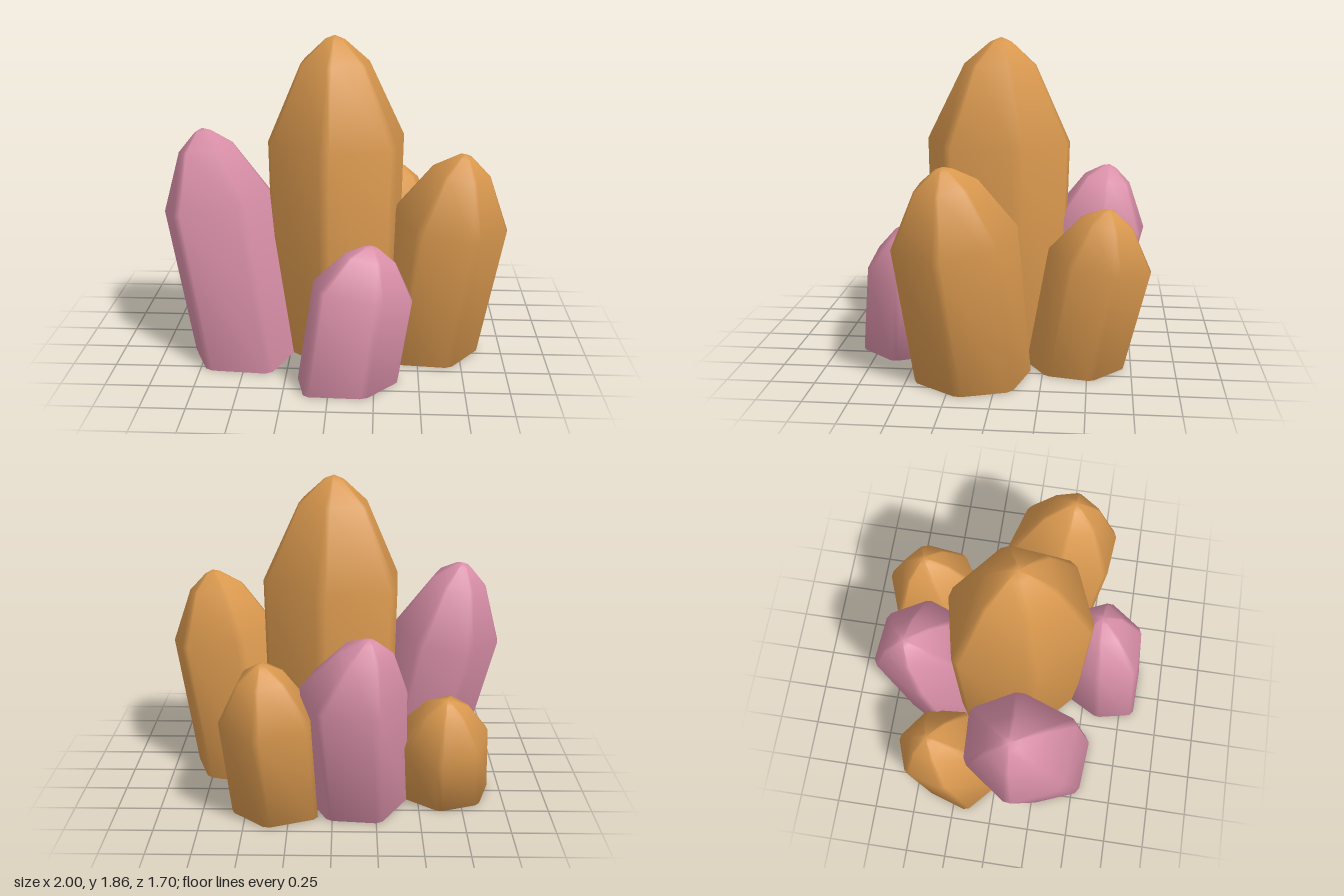
import * as THREE from 'three';

const amber = new THREE.MeshStandardMaterial({ color: 0xd9984e });
amber.name = 'amber';
const rose = new THREE.MeshStandardMaterial({ color: 0xd98fa8 });
rose.name = 'rose';

// outline: six [x, z] shoulder corners, clockwise seen from above
// base: [x, z] centre of the foot on the ground; footScale: foot size against the shoulder
const crystals = [
  { name: 'mainCrystal', material: amber, tip: [0, 1.86, 0.03], base: [0.01, 0.04], shoulder: 1.26, footScale: 0.94,
    outline: [[0.07, -0.37], [0.4, -0.1], [0.35, 0.31], [-0.04, 0.47], [-0.37, 0.17], [-0.35, -0.28]] },
  { name: 'rightTallCrystal', material: rose, tip: [-0.77, 1.325, 0.1], base: [-0.51, 0.26], shoulder: 0.89, footScale: 0.95,
    outline: [[-0.8, -0.16], [-0.5, -0.17], [-0.37, 0.1], [-0.5, 0.45], [-0.88, 0.42], [-1, 0.12]] },
  { name: 'leftTallCrystal', material: amber, tip: [0.75, 1.23, 0.27], base: [0.56, 0.15], shoulder: 0.83, footScale: 0.96,
    outline: [[0.55, -0.11], [0.9, -0.02], [1, 0.27], [0.81, 0.54], [0.49, 0.51], [0.35, 0.2]] },
  { name: 'frontSmallCrystal', material: rose, tip: [0.23, 0.77, 0.53], base: [0.08, 0.61], shoulder: 0.52, footScale: 1.02,
    outline: [[-0.09, 0.55], [0.02, 0.35], [0.34, 0.31], [0.46, 0.58], [0.28, 0.79], [-0.04, 0.78]] },
  { name: 'backLeftCrystal', material: amber, tip: [0.39, 0.94, -0.61], base: [0.33, -0.43], shoulder: 0.64, footScale: 0.97,
    outline: [[0.12, -0.74], [0.41, -0.85], [0.625, -0.66], [0.57, -0.4], [0.35, -0.27], [0.14, -0.45]] },
  { name: 'backCrystal', material: rose, tip: [-0.2, 1.085, -0.61], base: [-0.13, -0.39], shoulder: 0.76, footScale: 0.94,
    outline: [[-0.24, -0.82], [0.07, -0.79], [0.18, -0.55], [0.08, -0.32], [-0.22, -0.29], [-0.42, -0.5]] },
  { name: 'backRightSmallCrystal', material: amber, tip: [-0.65, 0.66, -0.43], base: [-0.66, -0.25], shoulder: 0.41, footScale: 1.04,
    outline: [[-0.82, -0.55], [-0.6, -0.63], [-0.41, -0.48], [-0.41, -0.22], [-0.7, -0.12], [-0.9, -0.3]] },
];

// Replace each corner with two points so the long edges are narrowly bevelled
function bevelCorners(outline, cut = 0.08) {
  const n = outline.length;
  const toward = (p, q) => [p[0] + (q[0] - p[0]) * cut, p[1] + (q[1] - p[1]) * cut];
  return outline.flatMap((p, i) =>
    [toward(p, outline[(i + n - 1) % n]), toward(p, outline[(i + 1) % n])]);
}

function crystalGeometry({ tip, base, shoulder, outline, footScale }) {
  const cx = outline.reduce((s, p) => s + p[0], 0) / outline.length;
  const cz = outline.reduce((s, p) => s + p[1], 0) / outline.length;
  const slopeX = (tip[0] - base[0]) / tip[1];
  const slopeZ = (tip[2] - base[1]) / tip[1];
  const ring = bevelCorners(outline).map(([x, z]) => [(x - cx) * 1.03, (z - cz) * 1.03]);
  const n = ring.length;
  const positions = [];

  // foot, flat on the ground
  for (const [dx, dz] of ring) positions.push(base[0] + dx * footScale, 0, base[1] + dz * footScale);

  // shoulder, upper and tip rings as [share of the way to the tip, scale], square to the leaning axis
  for (const [t, s] of [[0, 1], [0.74, 0.5], [0.955, 0.15]]) {
    for (const [dx, dz] of ring) {
      positions.push(cx + (tip[0] - cx) * t + dx * s,
        shoulder + (tip[1] - shoulder) * t - (slopeX * dx + slopeZ * dz) * s,
        cz + (tip[2] - cz) * t + dz * s);
    }
  }
  positions.push(...tip, base[0], 0, base[1]);

  const index = [];
  const apex = 4 * n, floor = apex + 1;
  for (let i = 0; i < n; i++) {
    const j = (i + 1) % n;
    for (let r = 0; r < 3; r++) {
      const a = r * n + i, b = r * n + j;
      index.push(a, a + n, b + n, a, b + n, b);
    }
    index.push(3 * n + i, apex, 3 * n + j);
    index.push(i, j, floor);
  }
  const geometry = new THREE.BufferGeometry();
  geometry.setAttribute('position', new THREE.Float32BufferAttribute(positions, 3));
  geometry.setIndex(index);
  geometry.computeVertexNormals();
  return geometry;
}

export function createModel() {
  const group = new THREE.Group();
  group.name = 'crystalCluster';
  for (const crystal of crystals) {
    const mesh = new THREE.Mesh(crystalGeometry(crystal), crystal.material);
    mesh.name = crystal.name;
    group.add(mesh);
  }
  return group;
}
